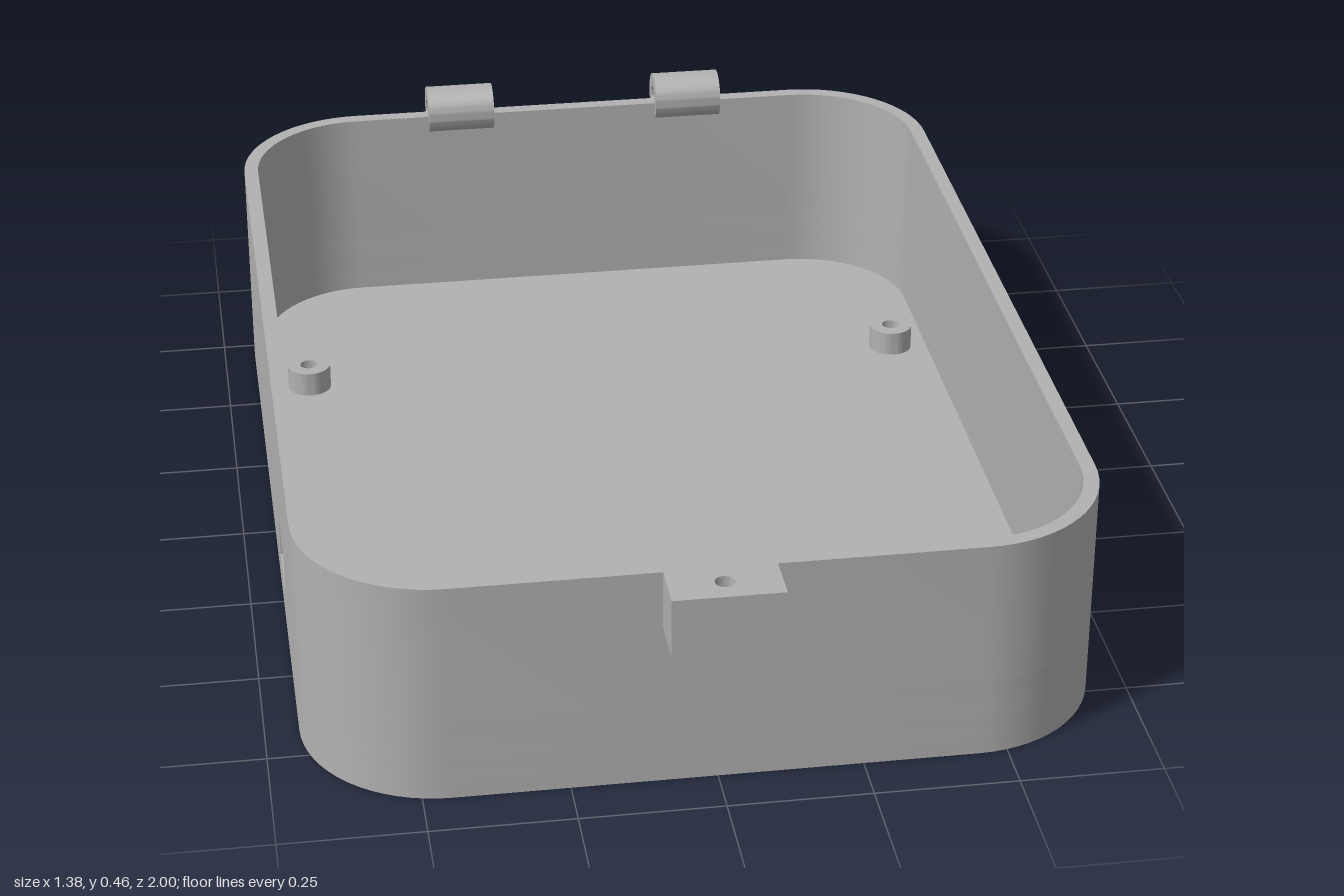
import * as THREE from 'three';
import { toCreasedNormals } from 'three/addons/utils/BufferGeometryUtils.js';

const HEIGHT = 0.41, FLOOR = 0.028, WALL = 0.027;
const SLOT = { z0: 0.2, z1: 0.345, y0: 0.07, y1: 0.145 };

// Rounded outline in plan (second coordinate is -z), starting low on the left edge
function outline(inset) {
  const x = 0.69 - inset, bottom = -0.91 + inset, top = 0.95 - inset, r = 0.24 - inset;
  const corners = [[-x + r, bottom + r], [x - r, bottom + r], [x - r, top - r], [-x + r, top - r]];
  const points = [];
  corners.forEach(([cx, cy], i) => {
    for (let k = 0; k <= 16; k++) {
      const a = Math.PI + (i + k / 16) * Math.PI / 2;
      points.push(new THREE.Vector2(cx + r * Math.cos(a), cy + r * Math.sin(a)));
    }
  });
  return points;
}

// Extrude a shape and smooth only its curved sides
function extrude(shape, depth) {
  const g = new THREE.ExtrudeGeometry(shape, { depth, bevelEnabled: false, curveSegments: 24 });
  return toCreasedNormals(g, 0.5);
}

// Extrude a plan shape upward between two heights
function layer(shape, y0, y1) {
  return extrude(shape, y1 - y0).rotateX(-Math.PI / 2).translate(0, y0, 0);
}

function ring(outer, inner) {
  const shape = new THREE.Shape().absarc(0, 0, outer, 0, Math.PI * 2, false);
  shape.holes.push(new THREE.Path().absarc(0, 0, inner, 0, Math.PI * 2, true));
  return shape;
}

export function createModel() {
  const model = new THREE.Group();
  const grey = new THREE.MeshStandardMaterial({ color: 0xb2b2b2 });
  grey.name = 'plastic grey';

  function add(name, geometry, x = 0, y = 0, z = 0) {
    const mesh = new THREE.Mesh(geometry, grey);
    mesh.name = name;
    mesh.position.set(x, y, z);
    model.add(mesh);
  }

  // Floor
  add('floor', layer(new THREE.Shape(outline(0)), 0, FLOOR));

  // Walls: full rings below and above the side slot
  const outer = outline(0), inner = outline(WALL);
  const wall = new THREE.Shape(outer);
  wall.holes.push(new THREE.Path(inner.slice().reverse()));
  add('lowerWall', layer(wall, FLOOR, SLOT.y0));
  add('upperWall', layer(wall, SLOT.y1, HEIGHT));

  // Wall ring broken by the slot
  const v = (x, z) => new THREE.Vector2(x, -z);
  const broken = new THREE.Shape([
    v(-0.69, SLOT.z1), ...outer, v(-0.69, SLOT.z0),
    v(-0.69 + WALL, SLOT.z0), ...inner.slice().reverse(), v(-0.69 + WALL, SLOT.z1),
  ]);
  add('slotWall', layer(broken, SLOT.y0, SLOT.y1));

  // Mounting posts
  for (const x of [-0.59, 0.59]) {
    for (const z of [-0.51, 0.585]) {
      add('mountingPost', layer(ring(0.042, 0.017), 0, 0.048), x, FLOOR, z);
    }
  }
  for (const x of [-0.52, -0.16]) {
    add('smallPost', layer(ring(0.035, 0.016), 0, 0.04), x, FLOOR, 0.802);
  }

  // Hinge barrels along the back rim
  for (const x of [-0.235, 0.235]) {
    const barrel = extrude(ring(0.047, 0.021), 0.134).translate(0, 0, -0.067).rotateY(Math.PI / 2);
    add('hingeBarrel', barrel, x, 0.413, -0.953);
  }

  // Front catch with a pin hole
  const block = new THREE.Shape([v(-0.095, 1), v(0.095, 1), v(0.095, 0.905), v(-0.095, 0.905)]);
  block.holes.push(new THREE.Path().absarc(0, -0.953, 0.017, 0, Math.PI * 2, true));
  add('frontCatch', layer(block, 0.303, HEIGHT));

  return model;
}
